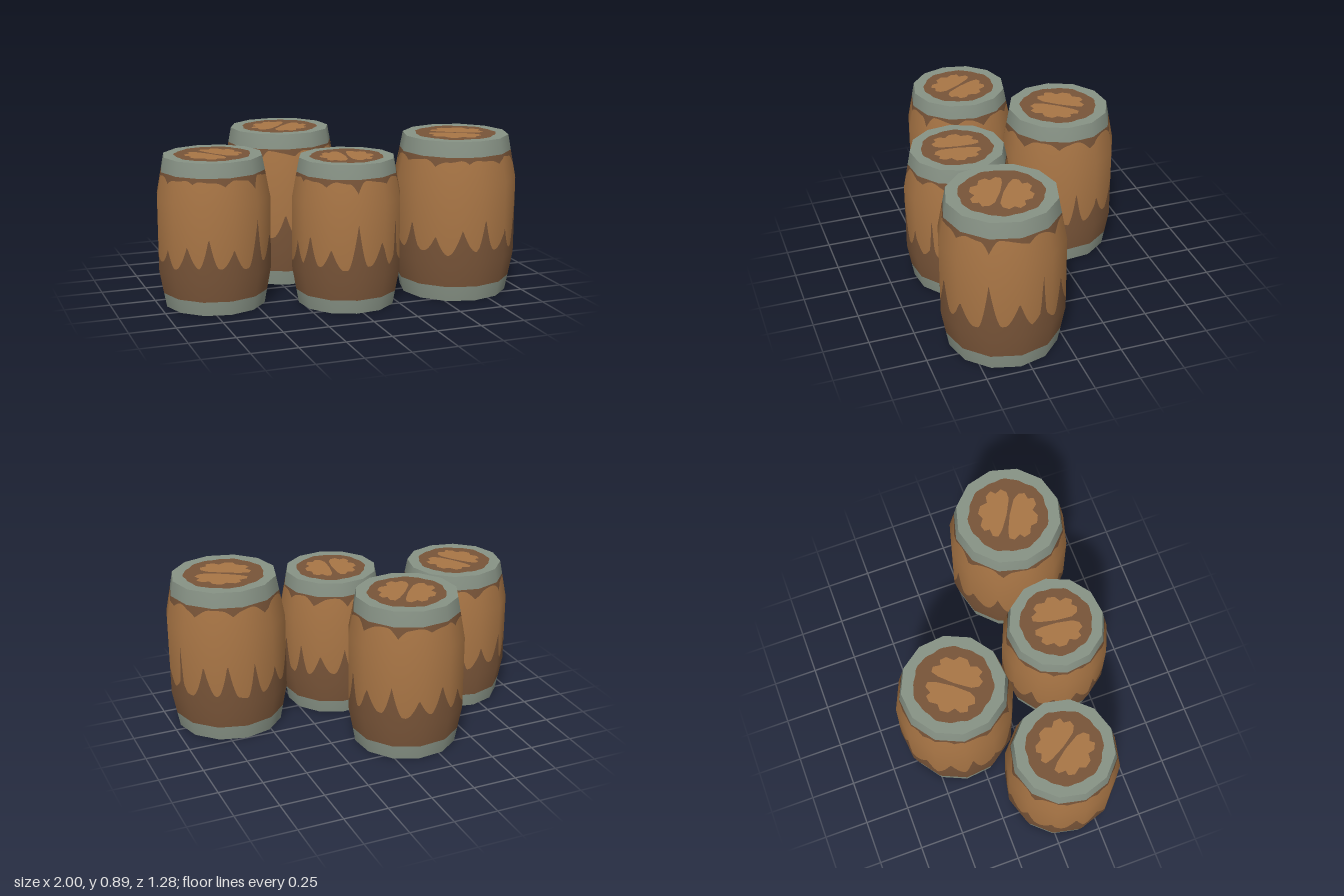
import * as THREE from 'three';

const SIDES = 12, COLS = 288, RAD = Math.PI / 180;

const paint = (name, color) => {
  const m = new THREE.MeshStandardMaterial({ color });
  m.name = name;
  return m;
};

// Barrel of unit height and unit radius: [height, radius, normal slope]
const PROFILE = [[0, 0.88, -0.48], [0.25, 1, -0.2], [0.73, 1, 0.2], [1, 0.865, 0.5]];

function profileAt(y) {
  let i = 0;
  while (i < 2 && y > PROFILE[i + 1][0]) i++;
  const a = PROFILE[i], b = PROFILE[i + 1], t = (y - a[0]) / (b[0] - a[0]);
  return [a[1] + (b[1] - a[1]) * t, a[2] + (b[2] - a[2]) * t];
}

// Radius factor that flattens a circle to a twelve-sided outline
function facet(deg) {
  const step = 360 / SIDES, local = ((deg % step) + step) % step - step / 2;
  return Math.cos(step / 2 * RAD) / Math.cos(local * RAD);
}

// Sum of pointed peaks [angle, size, half width] around the barrel
const peaks = (list, deg) => list.reduce((sum, [a, size, w]) => {
  const d = Math.abs(((deg - a + 540) % 360) - 180);
  return Math.max(sum, size * Math.max(0, 1 - d / w) ** 1.7);
}, 0);

const STAINS = [
  [0, 0.3, 11], [27, 0.16, 13], [51, 0.34, 5], [51, 0.1, 14], [78, 0.2, 12], [102, 0.22, 10],
  [129, 0.23, 9], [153, 0.14, 13], [180, 0.2, 11], [207, 0.12, 13], [232, 0.17, 12],
  [258, 0.11, 12], [284, 0.15, 13], [307, 0.2, 10], [332, 0.14, 13],
];
const DRIPS = [
  [0, 0.07, 9], [38, 0.025, 12], [70, 0.04, 14], [110, 0.03, 10], [145, 0.045, 14],
  [185, 0.05, 10], [220, 0.025, 12], [255, 0.045, 13], [290, 0.03, 10], [325, 0.04, 13],
];
const stainLine = d => 0.315 + 0.012 * Math.sin(d * RAD * 5) + peaks(STAINS, d);
const dripLine = d => 0.885 + 0.008 * Math.sin(d * RAD * 9) - peaks(DRIPS, d);

// Wall strip between two height lines, bent at the given heights
function strip(low, high, bends = []) {
  const pos = [], nor = [], idx = [], rows = bends.length + 2;
  for (let c = 0; c <= COLS; c++) {
    const deg = c * 360 / COLS, s = Math.sin(deg * RAD), k = Math.cos(deg * RAD);
    const lo = low(deg), hi = high(deg);
    [lo, ...bends.map(b => Math.min(hi, Math.max(lo, b))), hi].forEach(y => {
      const [r, slope] = profileAt(y), f = r * facet(deg), len = Math.hypot(1, slope);
      pos.push(s * f, y, k * f);
      nor.push(s / len, slope / len, k / len);
    });
    if (c === COLS) continue;
    for (let r = 0; r < rows - 1; r++) {
      const a = c * rows + r, b = a + rows;
      idx.push(a, b, b + 1, a, b + 1, a + 1);
    }
  }
  const g = new THREE.BufferGeometry();
  g.setAttribute('position', new THREE.Float32BufferAttribute(pos, 3));
  g.setAttribute('normal', new THREE.Float32BufferAttribute(nor, 3));
  g.setIndex(idx);
  return g;
}

// Closed outline from a radius rule
const ringPoints = (n, radius) => Array.from({ length: n }, (_, i) => {
  const deg = i * 360 / n, r = radius(deg);
  return new THREE.Vector2(Math.sin(deg * RAD) * r, Math.cos(deg * RAD) * r);
});

// Flat face at a height, looking up or down
function plate(outline, holes, y, up = true) {
  const shape = new THREE.Shape(outline);
  holes.forEach(h => shape.holes.push(new THREE.Path(h)));
  return new THREE.ShapeGeometry(shape).rotateX(up ? -Math.PI / 2 : Math.PI / 2).translate(0, y, 0);
}

// One worn patch of bare wood on the lid; the other is its mirror image
const PATCH = [
  [0.04, -0.3], [0.1, -0.41], [0.2, -0.44], [0.27, -0.35], [0.36, -0.38], [0.42, -0.27], [0.38, -0.16],
  [0.48, -0.08], [0.49, 0.06], [0.4, 0.13], [0.41, 0.27], [0.33, 0.35], [0.25, 0.31], [0.18, 0.42],
  [0.09, 0.41], [0.05, 0.28], [0.025, 0],
];
const patchPoints = side => PATCH.map(([x, y]) => new THREE.Vector2(x * side, y));

export function createModel() {
  const wood = paint('lightWood', 0xa87545);
  const stain = paint('darkWood', 0x785438);
  const metal = paint('greyMetal', 0x879285);
  const under = paint('darkUnderside', 0x4b4539);

  const topEdge = ringPoints(SIDES, () => 0.865);
  const lidEdge = ringPoints(72, d => 0.655 + 0.012 * Math.sin(d * RAD * 7) + 0.008 * Math.sin(d * RAD * 16));
  const bottomEdge = ringPoints(SIDES, () => 0.88);
  const baseEdge = ringPoints(SIDES, () => 0.84);
  const patches = [patchPoints(1), patchPoints(-1)];

  const parts = [
    // Walls, from the ground up
    ['lowerHoop', strip(() => 0, () => 0.095), metal],
    ['stainedStaves', strip(() => 0.095, stainLine, [0.25]), stain],
    ['staves', strip(stainLine, dripLine, [0.73]), wood],
    ['upperStain', strip(dripLine, () => 0.905), stain],
    ['upperHoop', strip(() => 0.905, () => 1), metal],
    // Lid
    ['lidRim', plate(topEdge, [lidEdge], 1), metal],
    ['lid', plate(lidEdge, patches, 1), stain],
    ['lidPatchRight', plate(patches[0], [], 1), wood],
    ['lidPatchLeft', plate(patches[1], [], 1), wood],
    // Underside
    ['baseRim', plate(bottomEdge, [baseEdge], 0, false), metal],
    ['base', plate(baseEdge, [], 0, false), under],
  ];

  // x, z, radius, height, turn in degrees
  const barrels = [
    ['leftBarrel', 0.66, 0.3, 0.34, 0.89, 60],
    ['middleBarrel', 0, 0.335, 0.302, 0.81, -8],
    ['rightBarrel', -0.688, 0.115, 0.313, 0.825, 33],
    ['backBarrel', -0.17, -0.32, 0.327, 0.875, -39],
  ];

  const model = new THREE.Group();
  model.name = 'barrels';
  for (const [name, x, z, radius, height, turn] of barrels) {
    const barrel = new THREE.Group();
    barrel.name = name;
    for (const [partName, geometry, material] of parts) {
      const mesh = new THREE.Mesh(geometry, material);
      mesh.name = partName;
      barrel.add(mesh);
    }
    barrel.position.set(x, 0, z);
    barrel.scale.set(radius, height, radius);
    barrel.rotation.y = turn * RAD;
    model.add(barrel);
  }
  return model;
}
